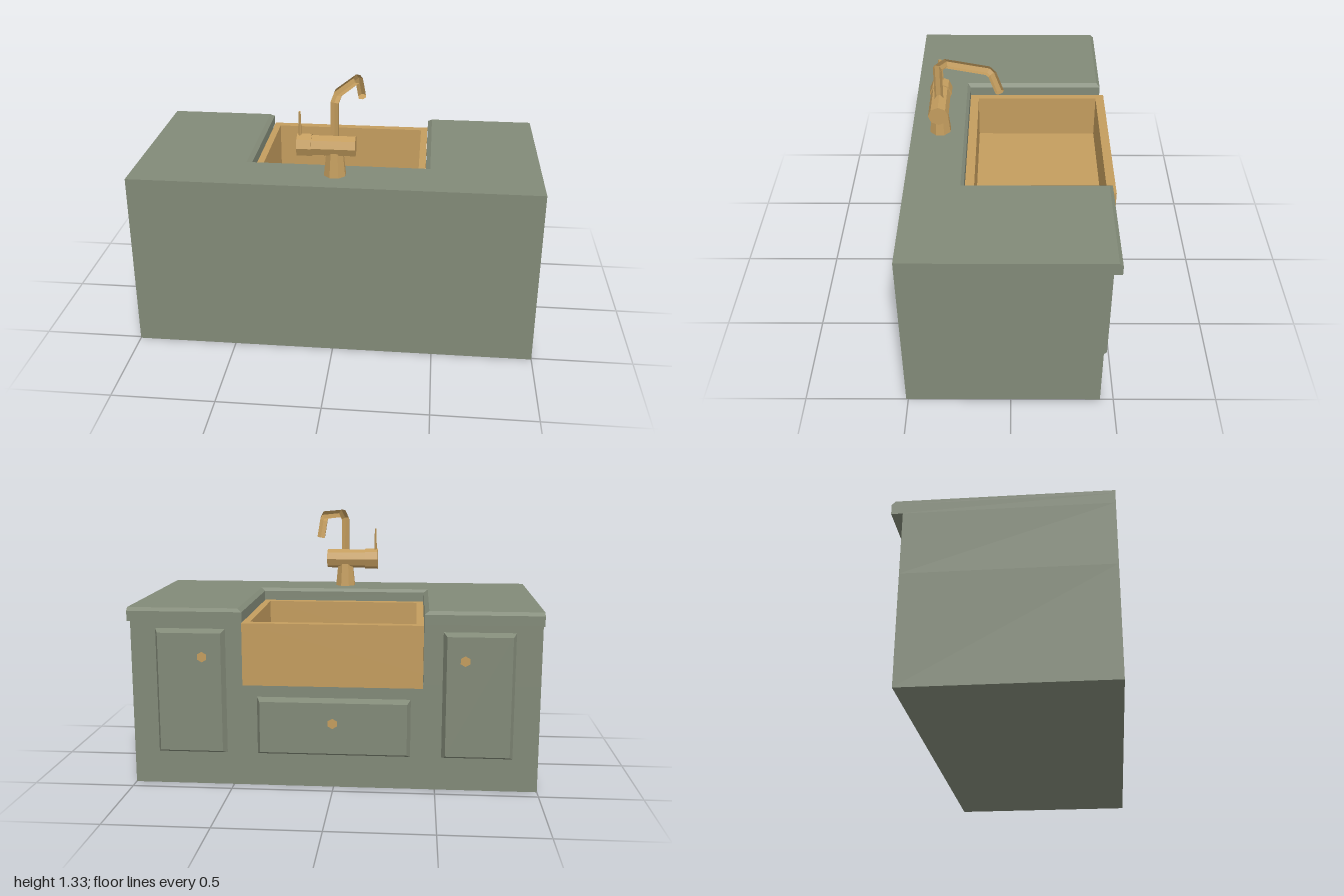
import * as THREE from 'three';

const green = new THREE.MeshStandardMaterial({ color: 0x828a78 });
green.name = 'sage green';
const brass = new THREE.MeshStandardMaterial({ color: 0xc49d5e });
brass.name = 'brass';

// Faceted mesh
function part(name, geometry, material, x = 0, y = 0, z = 0) {
  const g = geometry.index ? geometry.toNonIndexed() : geometry;
  g.computeVertexNormals();
  const mesh = new THREE.Mesh(g, material);
  mesh.name = name;
  mesh.position.set(x, y, z);
  return mesh;
}

// Joins rings of points into a capped solid; the outline (2D, counter-clockwise) shapes the caps
function loft(rings, outline) {
  const n = outline.length;
  const index = [];
  for (let r = 0; r < rings.length - 1; r++) {
    for (let i = 0; i < n; i++) {
      const a = r * n + i, b = r * n + (i + 1) % n;
      index.push(a, b, b + n, a, b + n, a + n);
    }
  }
  const last = (rings.length - 1) * n;
  for (const [a, b, c] of THREE.ShapeUtils.triangulateShape(outline, [])) {
    index.push(c, b, a, last + a, last + b, last + c);
  }
  const g = new THREE.BufferGeometry().setFromPoints(rings.flat());
  g.setIndex(index);
  return g;
}

// U-shaped plan open to the back: half width of the notch, notch depth, back edge
function uPlan(half, notchZ, backZ) {
  return [[-1, 0.51], [1, 0.51], [1, backZ], [half, backZ], [half, notchZ],
    [-half, notchZ], [-half, backZ], [-1, backZ]].map(([x, z]) => new THREE.Vector2(x, -z));
}
const atHeight = (plan, y) => plan.map(p => new THREE.Vector3(p.x, y, -p.y));

// Raised panel with sloping edges on the back face
function panel(name, x, width, y0, y1) {
  const ring = (inset, z) => {
    const w = width / 2 - inset;
    return [[-w, y0 + inset], [w, y0 + inset], [w, y1 - inset], [-w, y1 - inset]]
      .map(([u, v]) => new THREE.Vector3(x - u, v, z));
  };
  const outline = [[-1, -1], [1, -1], [1, 1], [-1, 1]].map(p => new THREE.Vector2(...p));
  return part(name, loft([ring(0, -0.435), ring(0.017, -0.47)], outline), green);
}

function knob(name, x, y) {
  const g = new THREE.CylinderGeometry(0.011, 0.026, 0.036, 6);
  g.rotateX(Math.PI / 2);
  return part(name, g, brass, x, y, -0.487);
}

// Six-sided pipe along a bent path in one upright plane
function spoutGeometry() {
  const path = [[0, 1.08], [0, 1.27], [0.042, 1.306], [0.265, 1.31], [0.288, 1.292], [0.325, 1.2]]
    .map(p => new THREE.Vector2(...p));
  const along = new THREE.Vector3(0.11, 0, -0.32).normalize();
  const side = new THREE.Vector3(-along.z, 0, along.x);
  const outline = [];
  for (let i = 0; i < 6; i++) {
    const a = i * Math.PI / 3;
    outline.push(new THREE.Vector2(Math.cos(a), Math.sin(a)).multiplyScalar(0.022));
  }
  const rings = path.map((p, i) => {
    const into = p.clone().sub(path[Math.max(i - 1, 0)]).normalize();
    const out = path[Math.min(i + 1, path.length - 1)].clone().sub(p).normalize();
    const t = into.clone().add(out).normalize();
    const mitre = 1 / Math.max(t.dot(into), t.dot(out));
    return outline.map(o => {
      const across = o.y * mitre;
      const d = p.x - t.y * across;
      return new THREE.Vector3(0, p.y + t.x * across, 0)
        .addScaledVector(along, d).addScaledVector(side, o.x);
    });
  });
  return loft(rings, outline);
}

function createFaucet() {
  const faucet = new THREE.Group();
  faucet.name = 'faucet';
  faucet.position.set(0, 0, 0.363);

  const base = new THREE.CylinderGeometry(0.04, 0.056, 0.15, 8);
  base.rotateY(Math.PI / 8);
  faucet.add(part('faucetBase', base, brass, 0, 0.98, 0));

  // Mixer body lying across the base, with a wider cap on its right
  for (const [name, x0, x1, r] of [['mixerBody', -0.11, 0.1, 0.051], ['mixerCap', -0.18, -0.11, 0.057]]) {
    const g = new THREE.CylinderGeometry(r, r, x1 - x0, 8);
    g.rotateZ(Math.PI / 2);
    faucet.add(part(name, g, brass, (x0 + x1) / 2, 1.053, 0));
  }

  const lever = new THREE.CylinderGeometry(0.007, 0.012, 0.13, 6);
  lever.scale(0.7, 1, 1.3);
  faucet.add(part('lever', lever, brass, -0.167, 1.155, 0));
  faucet.add(part('spout', spoutGeometry(), brass));
  return faucet;
}

function createSink() {
  const sink = new THREE.Group();
  sink.name = 'sink';
  const rect = (target, w, z0, z1) => {
    target.moveTo(-w, -z1);
    target.lineTo(w, -z1);
    target.lineTo(w, -z0);
    target.lineTo(-w, -z0);
    target.closePath();
    return target;
  };
  // Rim walls around an open basin
  const shape = rect(new THREE.Shape(), 0.435, -0.51, 0.225);
  shape.holes.push(rect(new THREE.Path(), 0.4, -0.465, 0.18));
  const walls = new THREE.ExtrudeGeometry(shape, { depth: 0.235, bevelEnabled: false });
  walls.rotateX(-Math.PI / 2);
  sink.add(part('sinkWalls', walls, brass, 0, 0.6, 0));
  sink.add(part('sinkFloor', new THREE.BoxGeometry(0.87, 0.07, 0.735), brass, 0, 0.565, -0.1425));
  return sink;
}

export function createModel() {
  const model = new THREE.Group();
  model.name = 'sinkCabinet';

  // Cabinet: solid below the sink, notched around it
  model.add(part('cabinetBase', new THREE.BoxGeometry(2, 0.53, 0.945), green, 0, 0.265, 0.0375));
  const body = uPlan(0.437, 0.226, -0.435);
  model.add(part('cabinetUpper', loft([atHeight(body, 0.53), atHeight(body, 0.835)], body), green));

  // Countertop with chamfered notch and back edge
  const edge = uPlan(0.437, 0.226, -0.488);
  const top = uPlan(0.459, 0.241, -0.47);
  model.add(part('countertop',
    loft([atHeight(edge, 0.835), atHeight(edge, 0.884), atHeight(top, 0.9)], edge), green));

  // Doors, drawer and knobs
  for (const [side, s] of [['left', 1], ['right', -1]]) {
    model.add(panel(side + 'Door', s * 0.703, 0.346, 0.165, 0.792));
    model.add(knob(side + 'DoorKnob', s * 0.633, 0.665));
  }
  model.add(panel('drawer', 0, 0.756, 0.165, 0.455));
  model.add(knob('drawerKnob', 0, 0.345));

  model.add(createSink());
  model.add(createFaucet());
  return model;
}
